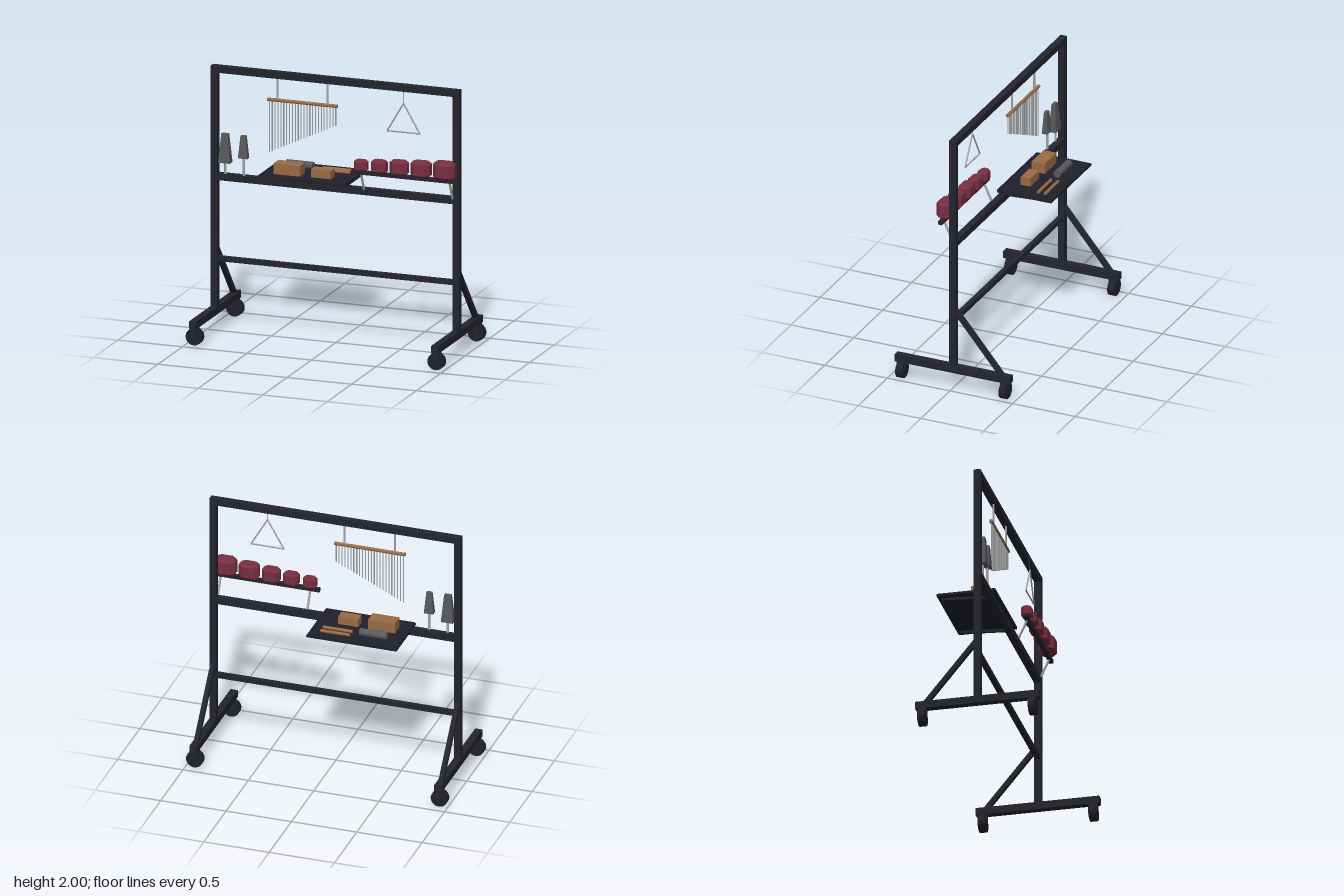
import * as THREE from 'three';

const mat = (name, color) => {
  const m = new THREE.MeshStandardMaterial({ color });
  m.name = name;
  return m;
};

export function createModel() {
  const root = new THREE.Group();
  root.name = 'percussionRack';
  const frame = mat('dark frame', 0x24242e);
  const tyre = mat('wheel rubber', 0x20212a);
  const trayMat = mat('tray black', 0x1f202a);
  const wood = mat('wood', 0x996b45);
  const red = mat('red block', 0x782f40);
  const steel = mat('dark steel', 0x57595c);
  const chrome = mat('bright metal', 0xa4a5a6);

  const V = (x, y, z) => new THREE.Vector3(x, y, z);
  const add = (name, geo, material, x = 0, y = 0, z = 0) => {
    const m = new THREE.Mesh(geo, material);
    m.name = name;
    m.position.set(x, y, z);
    root.add(m);
    return m;
  };
  const box = (name, material, w, h, d, x, y, z) =>
    add(name, new THREE.BoxGeometry(w, h, d), material, x, y, z);
  // Straight member between two points: round, or square when a depth is given
  const bar = (name, material, a, b, w, square = false, sides = 10) => {
    const len = a.distanceTo(b);
    const geo = square ? new THREE.BoxGeometry(w, len, w) : new THREE.CylinderGeometry(w / 2, w / 2, len, sides);
    const m = add(name, geo, material);
    m.position.copy(a).add(b).multiplyScalar(0.5);
    m.quaternion.setFromUnitVectors(V(0, 1, 0), b.clone().sub(a).normalize());
    return m;
  };

  // Main frame
  box('topBeam', frame, 1.92, 0.05, 0.05, 0, 1.97, 0);
  box('middleBeam', frame, 1.84, 0.05, 0.05, 0, 1.163, 0);
  box('lowerBar', frame, 1.84, 0.036, 0.036, 0, 0.545, 0);
  for (const s of [-1, 1]) {
    const x = 0.936 * s;
    box('post', frame, 0.05, 1.82, 0.05, x, 1.085, 0);
    box('foot', frame, 0.055, 0.056, 0.92, x, 0.157, 0);
    bar('backBrace', frame, V(x, 0.64, -0.005), V(x, 0.175, -0.39), 0.034, true);
    // Casters
    for (const z of [-0.412, 0.412]) {
      box('casterFork', frame, 0.05, 0.065, 0.063, x, 0.1, z);
      const w = add('casterWheel', new THREE.CylinderGeometry(0.063, 0.063, 0.052, 20), tyre, x, 0.063, z);
      w.rotation.x = Math.PI / 2;
    }
  }

  // Tray with a low rim and sloping supports
  const tx = -0.25, tz = -0.172;
  box('tray', trayMat, 0.69, 0.014, 0.434, tx, 1.196, tz);
  for (const s of [-1, 1]) {
    box('trayEndRim', trayMat, 0.014, 0.009, 0.434, tx + s * 0.332, 1.205, tz);
    box('traySideRim', trayMat, 0.664, 0.009, 0.014, tx, 1.205, tz + s * 0.21);
    bar('traySupport', frame, V(tx + s * 0.29, 1.163, -0.02), V(tx + s * 0.29, 1.182, -0.36), 0.02, true);
  }

  // Instruments lying on the tray
  box('largeWoodBlock', wood, 0.205, 0.08, 0.104, -0.401, 1.244, -0.103);
  box('smallWoodBlock', wood, 0.152, 0.062, 0.078, -0.143, 1.234, -0.108);
  bar('shaker', steel, V(-0.48, 1.234, -0.263), V(-0.274, 1.234, -0.263), 0.056, false, 18);
  for (const z of [-0.303, -0.247]) {
    bar('clave', wood, V(-0.21, 1.215, z), V(0.014, 1.215, z), 0.024, false, 12);
  }

  // Bar chimes, growing shorter towards the middle
  bar('chimeBar', wood, V(-0.53, 1.778, 0), V(0.012, 1.778, 0), 0.026, false, 12);
  for (const x of [-0.452, -0.066]) bar('chimeHanger', chrome, V(x, 1.78, 0), V(x, 1.95, 0), 0.016);
  const count = 24;
  for (let i = 0; i < count; i++) {
    const t = i / (count - 1);
    const x = -0.516 + 0.514 * t;
    bar('chime', chrome, V(x, 1.77, 0), V(x, 1.383 + 0.247 * t, 0), 0.0085, false, 8);
  }

  // Hanging triangle
  const apex = V(0.536, 1.862, 0.035), left = V(0.662, 1.645, 0.035), right = V(0.41, 1.645, 0.035);
  for (const [a, b] of [[apex, left], [left, right], [right, apex]]) {
    bar('triangleSide', chrome, a, b, 0.011);
    add('triangleCorner', new THREE.SphereGeometry(0.0055, 8, 6), chrome, a.x, a.y, a.z);
  }
  bar('triangleCord', steel, apex, V(0.536, 1.955, 0.024), 0.004, false, 6);

  // Cowbells on rods: tapered four-sided shells
  const cowbell = (x, top, bottom, rTop, rBottom) => {
    const geo = new THREE.CylinderGeometry(rTop * Math.SQRT2, rBottom * Math.SQRT2, top - bottom, 4).toNonIndexed();
    geo.rotateY(Math.PI / 4);
    geo.scale(1, 1, 0.62);
    geo.computeVertexNormals();
    add('cowbell', geo, steel, x, (top + bottom) / 2, 0.02);
    bar('cowbellRod', chrome, V(x, 1.18, 0.015), V(x, bottom + 0.01, 0.015), 0.018);
  };
  cowbell(-0.85, 1.494, 1.276, 0.025, 0.046);
  cowbell(-0.708, 1.492, 1.322, 0.02, 0.036);

  // Rail for the temple blocks
  const rz = 0.087;
  box('blockRail', frame, 0.828, 0.028, 0.03, 0.567, 1.326, rz);
  for (const x of [0.227, 0.912]) bar('railSupport', chrome, V(x, 1.315, rz), V(x, 1.18, 0.024), 0.017);

  // Temple blocks: chamfered footprint with bevelled top and bottom
  const templeBlock = (x, w, h, d) => {
    const b = h * 0.14, c = d * 0.2, hw = w / 2 - b, hd = d / 2 - b;
    const s = new THREE.Shape([
      [-hw + c, -hd], [hw - c, -hd], [hw, -hd + c], [hw, hd - c],
      [hw - c, hd], [-hw + c, hd], [-hw, hd - c], [-hw, -hd + c],
    ].map(([px, py]) => new THREE.Vector2(px, py)));
    const geo = new THREE.ExtrudeGeometry(s, {
      depth: h - 2 * b, bevelEnabled: true, bevelSegments: 1, bevelSize: b, bevelThickness: b,
    });
    geo.rotateX(-Math.PI / 2);
    add('templeBlock', geo, red, x, 1.34 + b, rz);
  };
  for (const [x, w, h, d] of [
    [0.228, 0.1, 0.08, 0.077], [0.37, 0.117, 0.092, 0.086], [0.523, 0.134, 0.105, 0.095],
    [0.692, 0.15, 0.116, 0.104], [0.874, 0.164, 0.13, 0.114],
  ]) templeBlock(x, w, h, d);

  return root;
}
